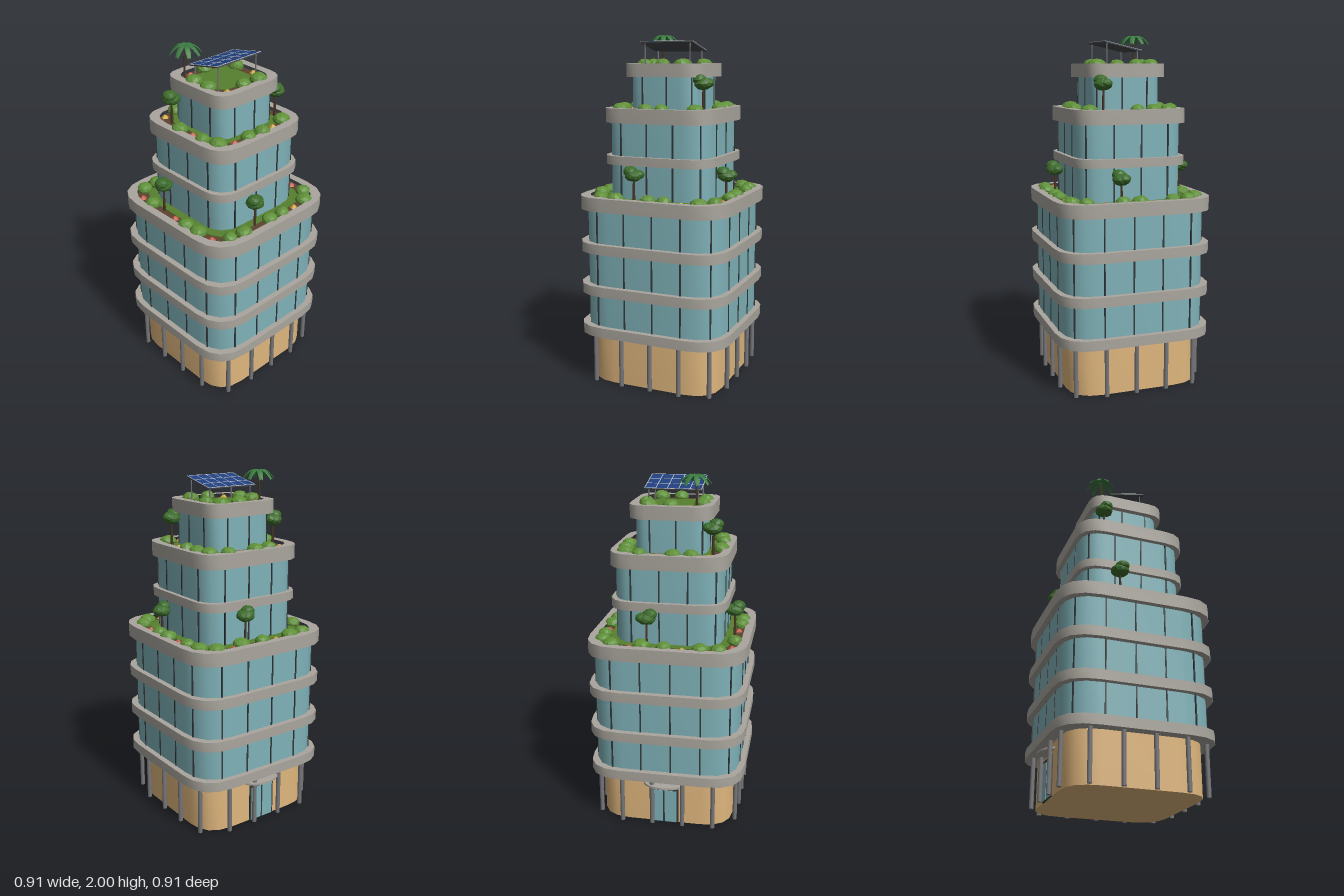
import * as THREE from 'three';
import { toCreasedNormals } from 'three/addons/utils/BufferGeometryUtils.js';

const mat = (color, extra = {}) => new THREE.MeshStandardMaterial({ color, ...extra });
const M = {
  concrete: mat(0xaaa69e), glass: mat(0x7fb2b8), wall: mat(0xdfb67d), metal: mat(0x77777a),
  dark: mat(0x33393c), soil: mat(0x5c4430), grass: mat(0x56802f), trunk: mat(0x4a3626),
  bush: mat(0x5f9038, { flatShading: true }), crown: mat(0x3c6b2b, { flatShading: true }),
  red: mat(0xc4604c, { flatShading: true }), yellow: mat(0xcfa83c, { flatShading: true }),
  palm: mat(0x3a7a40, { side: THREE.DoubleSide }), panel: mat(0x21407f), panelBack: mat(0x45474a),
  frame: mat(0xc4c8cc),
};

function add(parent, name, geo, material, x = 0, y = 0, z = 0) {
  const m = new THREE.Mesh(geo, material);
  m.name = name;
  m.position.set(x, y, z);
  parent.add(m);
  return m;
}

// Rounded square outline of half-width h and corner size r
function outline(h, r = h * 0.45) {
  const s = new THREE.Shape(), k = h - r;
  s.moveTo(-k, h).lineTo(k, h).quadraticCurveTo(h, h, h, k);
  s.lineTo(h, -k).quadraticCurveTo(h, -h, k, -h);
  s.lineTo(-k, -h).quadraticCurveTo(-h, -h, -h, -k);
  s.lineTo(-h, k).quadraticCurveTo(-h, h, -k, h);
  return s;
}

function block(parent, name, h, y0, y1, material, innerH = 0) {
  const s = outline(h);
  if (innerH) s.holes.push(outline(innerH));
  const geo = new THREE.ExtrudeGeometry(s, { depth: y1 - y0, bevelEnabled: false, curveSegments: 4 });
  geo.rotateX(-Math.PI / 2);
  return add(parent, name, toCreasedNormals(geo, 0.5), material, 0, y0, 0);
}

// Calls fn(x, z, angle) at n even steps round the outline, starting at the front corner
function around(h, n, fn) {
  const s = outline(h), len = s.getCurveLengths();
  const u0 = (len[0] + len[1]) / 2 / s.getLength();
  for (let i = 0; i < n; i++) {
    const u = (u0 + i / n) % 1, p = s.getPointAt(u), t = s.getTangentAt(u);
    fn(p.x, p.y, -Math.atan2(t.y, t.x));
  }
}

function glassTier(parent, h, y0, y1, n) {
  block(parent, 'glassWall', h, y0, y1, M.glass);
  const geo = new THREE.BoxGeometry(0.008, y1 - y0, 0.008);
  around(h, n, (x, z, a) => {
    add(parent, 'mullion', geo, M.dark, x, (y0 + y1) / 2, z).rotation.y = a;
  });
}

const blob = new THREE.IcosahedronGeometry(1, 1);
{ // roughen the foliage ball by a smooth rule
  const p = blob.attributes.position, v = new THREE.Vector3();
  for (let i = 0; i < p.count; i++) {
    v.fromBufferAttribute(p, i);
    v.multiplyScalar(1 + 0.07 * Math.sin(v.x * 7 + v.y * 3) * Math.cos(v.z * 6));
    p.setXYZ(i, v.x, v.y, v.z);
  }
  blob.computeVertexNormals();
}
function foliage(parent, name, material, x, y, z, r, ry) {
  const m = add(parent, name, blob, material, x, y, z);
  m.scale.set(r, ry, r);
  m.rotation.y = x * 37 + z * 53;
}

function tree(parent, x, z, base, crownY) {
  const g = new THREE.Group();
  g.name = 'tree';
  parent.add(g);
  add(g, 'trunk', new THREE.CylinderGeometry(0.005, 0.008, crownY - base, 6), M.trunk, x, (crownY + base) / 2, z);
  foliage(g, 'crown', M.crown, x, crownY, z, 0.052, 0.036);
  foliage(g, 'crownTop', M.crown, x - 0.018, crownY + 0.022, z + 0.008, 0.04, 0.03);
  foliage(g, 'crownSide', M.crown, x + 0.025, crownY + 0.005, z - 0.01, 0.035, 0.026);
}

// Roof terrace: raised rim, soil bed, lawn and planting
function terrace(parent, h, y0, top, lawn, plants) {
  const g = new THREE.Group();
  g.name = 'terrace';
  parent.add(g);
  const bed = top - 0.02, inner = h - 0.046;
  block(g, 'rim', h, y0, top, M.concrete, inner);
  block(g, 'roofSlab', inner + 0.001, y0, bed - 0.004, M.concrete);
  block(g, 'soil', inner, bed - 0.004, bed, M.soil);
  block(g, 'lawn', lawn, bed, bed + 0.004, M.grass);
  plants.bushes.forEach(([x, z], i) =>
    foliage(g, 'bush', M.bush, x, top - 0.008, z, 0.046 + 0.004 * Math.sin(i * 2.3), 0.035));
  const flower = new THREE.CylinderGeometry(0.008, 0.022, 0.016, 5);
  for (const kind of ['red', 'yellow']) {
    plants[kind].forEach(([x, z]) => add(g, 'flower', flower, M[kind], x, bed + 0.008, z));
  }
  (plants.trees || []).forEach(([x, z, y]) => tree(g, x, z, bed, y));
}

function palm(parent, x, z, y0, y1) {
  const g = new THREE.Group();
  g.name = 'palm';
  parent.add(g);
  const stem = new THREE.QuadraticBezierCurve3(
    new THREE.Vector3(x - 0.012, y0, z), new THREE.Vector3(x - 0.01, (y0 + y1) / 2, z), new THREE.Vector3(x, y1, z));
  add(g, 'palmTrunk', new THREE.TubeGeometry(stem, 6, 0.006, 6), M.trunk);
  const frond = new THREE.PlaneGeometry(1, 1, 2, 5), p = frond.attributes.position;
  for (let i = 0; i < p.count; i++) {
    const s = p.getY(i) + 0.5, side = p.getX(i);
    const w = 0.008 + 0.022 * Math.sin(Math.PI * Math.min(1, s * 0.85));
    p.setXYZ(i, side * w, 0.05 * s - 0.09 * s * s - Math.abs(side) * 0.012, s * 0.088);
  }
  frond.computeVertexNormals();
  for (let i = 0; i < 8; i++) add(g, 'frond', frond, M.palm, x, y1 + 0.002, z).rotation.y = i * Math.PI / 4 + 0.3;
}

function solarPanel(parent) {
  const W = 0.32, D = 0.222, g = new THREE.Group();
  g.name = 'solarPanel';
  g.position.set(0, 1.929, 0.014);
  g.rotation.x = -0.222;
  parent.add(g);
  add(g, 'panelBacking', new THREE.BoxGeometry(W, 0.006, D), M.panelBack);
  add(g, 'panelCells', new THREE.BoxGeometry(W - 0.004, 0.002, D - 0.004), M.panel, 0, 0.004, 0);
  for (let i = 0; i <= 5; i++) add(g, 'gridBar', new THREE.BoxGeometry(0.004, 0.002, D), M.frame, (i / 5 - 0.5) * (W - 0.004), 0.005, 0);
  for (let i = 0; i <= 3; i++) add(g, 'gridBar', new THREE.BoxGeometry(W, 0.002, 0.004), M.frame, 0, 0.005, (i / 3 - 0.5) * (D - 0.004));
  for (const x of [-0.138, 0.138]) for (const [z, y] of [[0.105, 1.948], [-0.075, 1.907]]) {
    add(parent, 'panelLeg', new THREE.CylinderGeometry(0.004, 0.004, y - 1.81, 6), M.metal, x, (y + 1.81) / 2, z);
  }
}

function entrance(parent) {
  const g = new THREE.Group();
  g.name = 'entrance';
  parent.add(g);
  add(g, 'doorFrame', new THREE.BoxGeometry(0.17, 0.225, 0.014), M.dark, 0, 0.1125, -0.387);
  for (const x of [-0.04, 0.04]) add(g, 'doorLeaf', new THREE.BoxGeometry(0.07, 0.205, 0.02), M.glass, x, 0.106, -0.387);
  const canopy = new THREE.CylinderGeometry(0.12, 0.12, 0.012, 24, 1, false, Math.PI / 2, Math.PI);
  add(g, 'canopy', canopy, M.concrete, 0, 0.25, -0.38).scale.z = 0.6;
}

export function createModel() {
  const root = new THREE.Group();
  root.name = 'terracedTower';

  // Ground floor with colonnade
  block(root, 'groundFloor', 0.387, 0, 0.29, M.wall);
  const column = new THREE.CylinderGeometry(0.013, 0.013, 0.29, 10);
  around(0.413, 17, (x, z) => add(root, 'column', column, M.metal, x, 0.145, z));
  entrance(root);

  // Glass tiers and floor bands
  glassTier(root, 0.42, 0.34, 1.02, 18);
  glassTier(root, 0.303, 1.07, 1.51, 14);
  glassTier(root, 0.2, 1.56, 1.765, 10);
  for (const [h, a, b] of [[0.453, 0.288, 0.345], [0.453, 0.53, 0.587], [0.453, 0.775, 0.832], [0.328, 1.272, 1.322]]) {
    block(root, 'floorBand', h, a, b, M.concrete);
  }

  // Planted terraces
  terrace(root, 0.453, 1.02, 1.097, 0.352, {
    bushes: [[-0.3, -0.365], [-0.2, -0.375], [0, -0.38], [0.3, -0.367], [0.365, -0.297], [0.377, -0.2],
      [0.379, -0.005], [0.377, 0.092], [0.365, 0.295], [0.297, 0.362], [0.097, 0.377], [0, 0.377],
      [-0.2, 0.374], [-0.295, 0.365], [-0.377, 0.2], [-0.379, 0.1], [-0.372, -0.2], [0.13, -0.36]],
    red: [[-0.367, -0.297], [0.196, -0.377], [0.377, -0.104], [-0.374, 0.002], [0.374, 0.196], [-0.367, 0.297]],
    yellow: [[-0.1, -0.377], [0.2, 0.374]],
    trees: [[-0.095, 0.352, 1.225], [0.357, 0.095, 1.215], [-0.36, -0.11, 1.245], [0.1, -0.355, 1.245]],
  });
  terrace(root, 0.33, 1.507, 1.588, 0.235, {
    bushes: [[-0.13, -0.26], [-0.03, -0.268], [0.155, -0.272], [0.244, -0.222], [0.26, -0.128], [0.263, -0.03],
      [0.22, 0.234], [0.036, 0.266], [-0.065, 0.26], [-0.239, 0.215], [-0.263, 0.118], [-0.27, -0.06]],
    red: [[0.063, -0.256], [-0.256, 0.031], [-0.157, 0.251]],
    yellow: [[-0.222, -0.242], [0.256, 0.063], [0.128, 0.254]],
    trees: [[0.24, 0.16, 1.725], [-0.235, -0.165, 1.715]],
  });
  terrace(root, 0.231, 1.76, 1.835, 0.13, {
    bushes: [[0, -0.157], [0.123, -0.157], [0.155, -0.06], [-0.16, -0.06], [-0.162, 0.055], [-0.005, 0.157], [0.11, 0.155]],
    red: [[-0.106, -0.15]],
    yellow: [[-0.12, 0.155], [0.165, 0.06]],
  });

  // Rooftop
  palm(root, -0.133, -0.155, 1.81, 1.99);
  solarPanel(root);
  return root;
}
